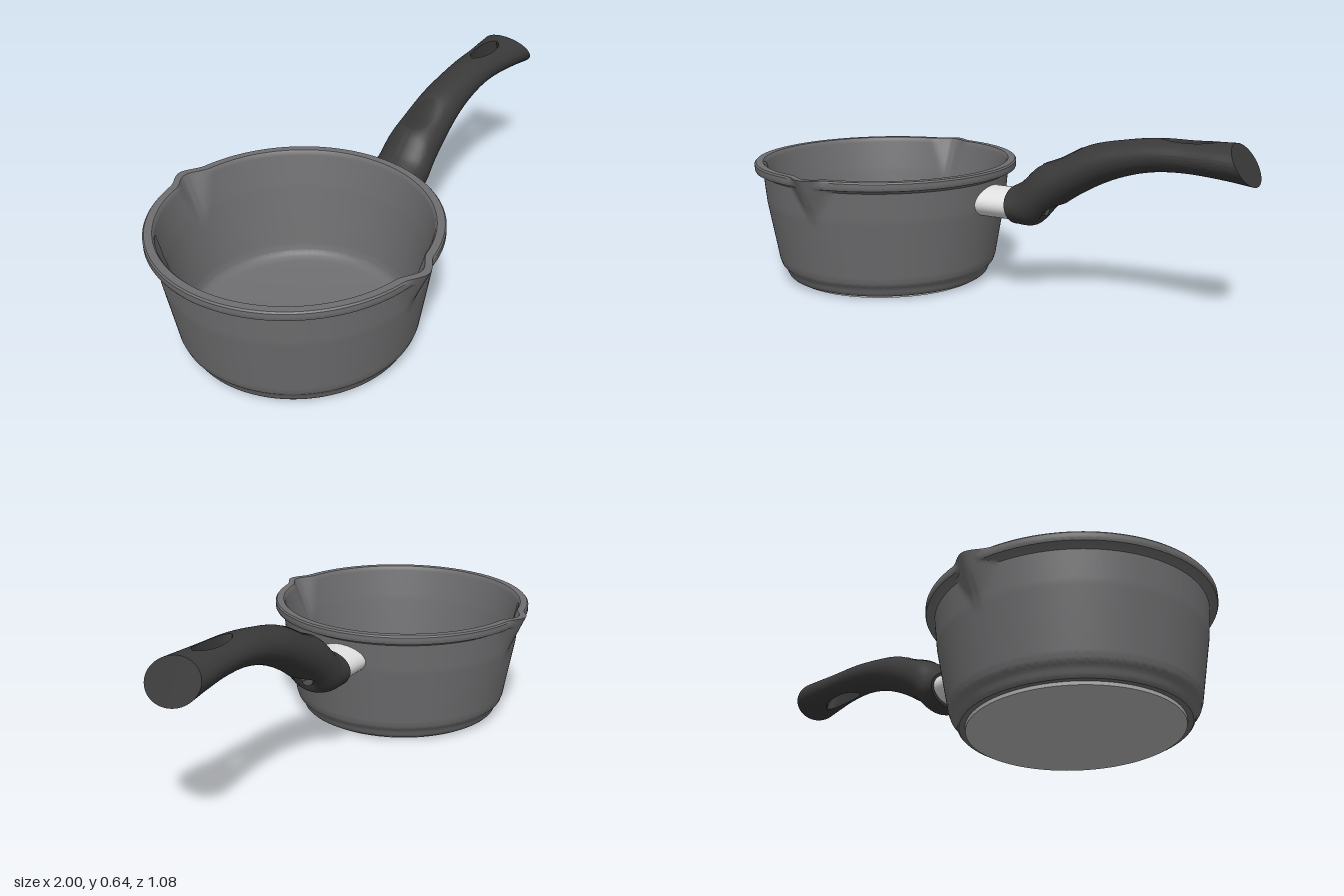
import * as THREE from 'three';
import { toCreasedNormals } from 'three/addons/utils/BufferGeometryUtils.js';

const mat = (name, color) => {
  const m = new THREE.MeshStandardMaterial({ color });
  m.name = name;
  return m;
};

const POT_X = -0.488;

// Lathe profile, each long span cut into short rows so the spouts can bend it
function subdivide(points, step) {
  const out = [];
  points.forEach(([r, y], i) => {
    if (i > 0) {
      const [r0, y0] = points[i - 1];
      const n = Math.max(1, Math.ceil(Math.abs(y - y0) / step));
      for (let k = 1; k < n; k++) out.push(new THREE.Vector2(r0 + (r - r0) * k / n, y0 + (y - y0) * k / n));
    }
    out.push(new THREE.Vector2(r, y));
  });
  return out;
}

function smoothMax(a, b, k) {
  const h = Math.max(k - Math.abs(a - b), 0) / k;
  return Math.max(a, b) + h * h * k / 4;
}

// Pot body: outer wall, rim, inner wall and floor, with two pouring spouts
function potGeometry() {
  const outer = subdivide([
    [0, 0.012], [0.392, 0.012], [0.398, 0.018], [0.41, 0.045], [0.423, 0.06], [0.43, 0.08],
    [0.47, 0.31], [0.48, 0.418], [0.49, 0.427], [0.509, 0.432], [0.512, 0.438], [0.512, 0.459], [0.507, 0.465]], 0.012);
  const inner = subdivide([
    [0.48, 0.465], [0.474, 0.458], [0.447, 0.33], [0.406, 0.085], [0.398, 0.06], [0.383, 0.046],
    [0.36, 0.04], [0, 0.04]], 0.012);
  const rows = [...outer, ...inner];
  const geo = new THREE.LatheGeometry(rows, 320, Math.PI / 2);
  const p = geo.attributes.position;
  for (let i = 0; i < p.count; i++) {
    const x = p.getX(i), y = p.getY(i), z = p.getZ(i);
    if (y < 0.25) continue;
    const wall = i % rows.length >= outer.length ? 0.028 : 0;
    const r = Math.hypot(x, z);
    const cone = 0.541 - wall - 0.45 * (0.465 - y) - 0.62 * (Math.hypot(x, 0.022) - 0.022);
    const s = smoothMax(r, cone, 0.012) / r;
    p.setXYZ(i, x * s, y, z * s);
  }
  return toCreasedNormals(geo, 0.6);
}

// Handle edge lines: x, y, half width along the top; x, y along the underside
const curve = (pts) => new THREE.CatmullRomCurve3(pts.map(([x, y, w = 0]) => new THREE.Vector3(x, y, w)));
const topLine = curve([
  [0.09, 0.41, 0.112], [0.13, 0.432, 0.111], [0.2, 0.497, 0.105], [0.28, 0.537, 0.096], [0.4, 0.59, 0.086],
  [0.52, 0.616, 0.081], [0.64, 0.632, 0.08], [0.78, 0.635, 0.086], [0.86, 0.636, 0.098], [0.915, 0.637, 0.107]]);
const underLine = curve([
  [0.12, 0.272], [0.185, 0.273], [0.25, 0.328], [0.35, 0.4], [0.46, 0.46],
  [0.56, 0.497], [0.66, 0.517], [0.78, 0.52], [0.9, 0.511], [1, 0.498]]);

const bump = (d) => (d < 1 ? (1 - d * d) ** 2 : 0);

// Point on the handle skin: u runs along it, a runs from top (0) to underside (PI)
function skin(u, a, lift = 0) {
  const t = topLine.getPoint(u), b = underLine.getPoint(u);
  const mid = t.clone().add(b).multiplyScalar(0.5);
  const half = t.clone().sub(b).multiplyScalar(0.5);
  const z = t.z * Math.sin(a);
  let c = Math.cos(a);
  const x = mid.x + half.x * c;
  if (c > 0) c -= 0.09 * bump(Math.hypot((x - 0.285) / 0.11, z / 0.075)); // thumb dent
  else c += 0.5 * bump(Math.hypot((x - 0.245) / 0.055, z / 0.06)); // screw pocket
  c *= 1 + lift / half.length();
  return [mid.x + half.x * c, mid.y + half.y * c, z];
}

// Half width of the hanging hole
function holeWidth(u) {
  const x = (topLine.getPoint(u).x + underLine.getPoint(u).x) / 2;
  return 0.036 * Math.sqrt(Math.max(0, 1 - ((x - 0.77) / 0.1) ** 2));
}

function handleGeometry() {
  const NU = 150, NA = 36, cols = NA + 1;
  const pos = [], idx = [];
  for (const side of [1, -1]) {
    const base = pos.length / 3;
    const tri = (a, b, c) => (side > 0 ? idx.push(a, b, c) : idx.push(a, c, b));
    const widths = [];
    for (let i = 0; i <= NU; i++) {
      const u = i / NU;
      widths.push(holeWidth(u));
      const a0 = Math.asin(widths[i] / topLine.getPoint(u).z);
      for (let j = 0; j <= NA; j++) {
        const [x, y, z] = skin(u, a0 + (Math.PI - 2 * a0) * j / NA);
        pos.push(x, y, z * side);
      }
    }
    for (let i = 0; i < NU; i++) {
      // the last column closes the loop and forms the wall of the hole
      const n = widths[i] > 0 || widths[i + 1] > 0 ? cols : NA;
      for (let j = 0; j < n; j++) {
        const k = (j + 1) % cols;
        const a = base + i * cols + j, b = base + i * cols + k;
        tri(a, b, a + cols);
        tri(b, b + cols, a + cols);
      }
    }
    // end caps
    const end = base + NU * cols;
    for (let j = 1; j < NA; j++) {
      tri(base, base + j + 1, base + j);
      tri(end, end + j, end + j + 1);
    }
  }
  const geo = new THREE.BufferGeometry();
  geo.setAttribute('position', new THREE.Float32BufferAttribute(pos, 3));
  geo.setIndex(idx);
  return toCreasedNormals(geo, 0.7);
}

// Oval thumb pad that follows the top of the handle
function padGeometry() {
  const RINGS = 8, N = 40, pos = [], idx = [];
  for (let i = 0; i <= RINGS; i++) {
    for (let j = 0; j < N; j++) {
      const f = (j / N) * Math.PI * 2, r = i / RINGS;
      pos.push(...skin(0.325 + 0.085 * r * Math.cos(f), 0.58 * r * Math.sin(f), 0.003));
      if (i === RINGS) continue;
      const a = i * N + j, b = i * N + (j + 1) % N;
      idx.push(a, b, a + N, b, b + N, a + N);
    }
  }
  const geo = new THREE.BufferGeometry();
  geo.setAttribute('position', new THREE.Float32BufferAttribute(pos, 3));
  geo.setIndex(idx);
  geo.computeVertexNormals();
  return geo;
}

export function createModel() {
  const group = new THREE.Group();
  const potGrey = mat('potGrey', 0x6e6e70);
  const handleBlack = mat('handleBlack', 0x393939);
  const padBlack = mat('padBlack', 0x333333);
  padBlack.side = THREE.DoubleSide;
  const steel = mat('steel', 0xe0e0e0);
  const baseSteel = mat('baseSteel', 0xb6b6b6);
  const screwGrey = mat('screwGrey', 0x565758);

  const add = (name, geo, material, x = 0, y = 0, z = 0) => {
    const m = new THREE.Mesh(geo, material);
    m.name = name;
    m.position.set(x, y, z);
    group.add(m);
    return m;
  };

  add('pot', potGeometry(), potGrey, POT_X);
  add('basePlate', new THREE.CylinderGeometry(0.373, 0.371, 0.014, 96), baseSteel, POT_X, 0.007);

  // Oval sleeve joining pot and handle, ending inside the pot wall
  const sleeve = new THREE.CylinderGeometry(1, 1, 0.15, 48).rotateZ(Math.PI / 2).scale(1, 0.058, 0.1);
  add('sleeve', sleeve, steel, 0.049, 0.342);

  add('handle', handleGeometry(), handleBlack);
  add('thumbPad', padGeometry(), padBlack);

  // Screw under the handle, with a slot across its head
  add('screw', new THREE.CylinderGeometry(0.026, 0.026, 0.07, 24).rotateZ(Math.PI / 2), screwGrey, 0.188, 0.336);
  const slot = add('screwSlot', new THREE.BoxGeometry(0.004, 0.007, 0.044), padBlack, 0.2225, 0.336);
  slot.rotation.x = 0.6;
  return group;
}
